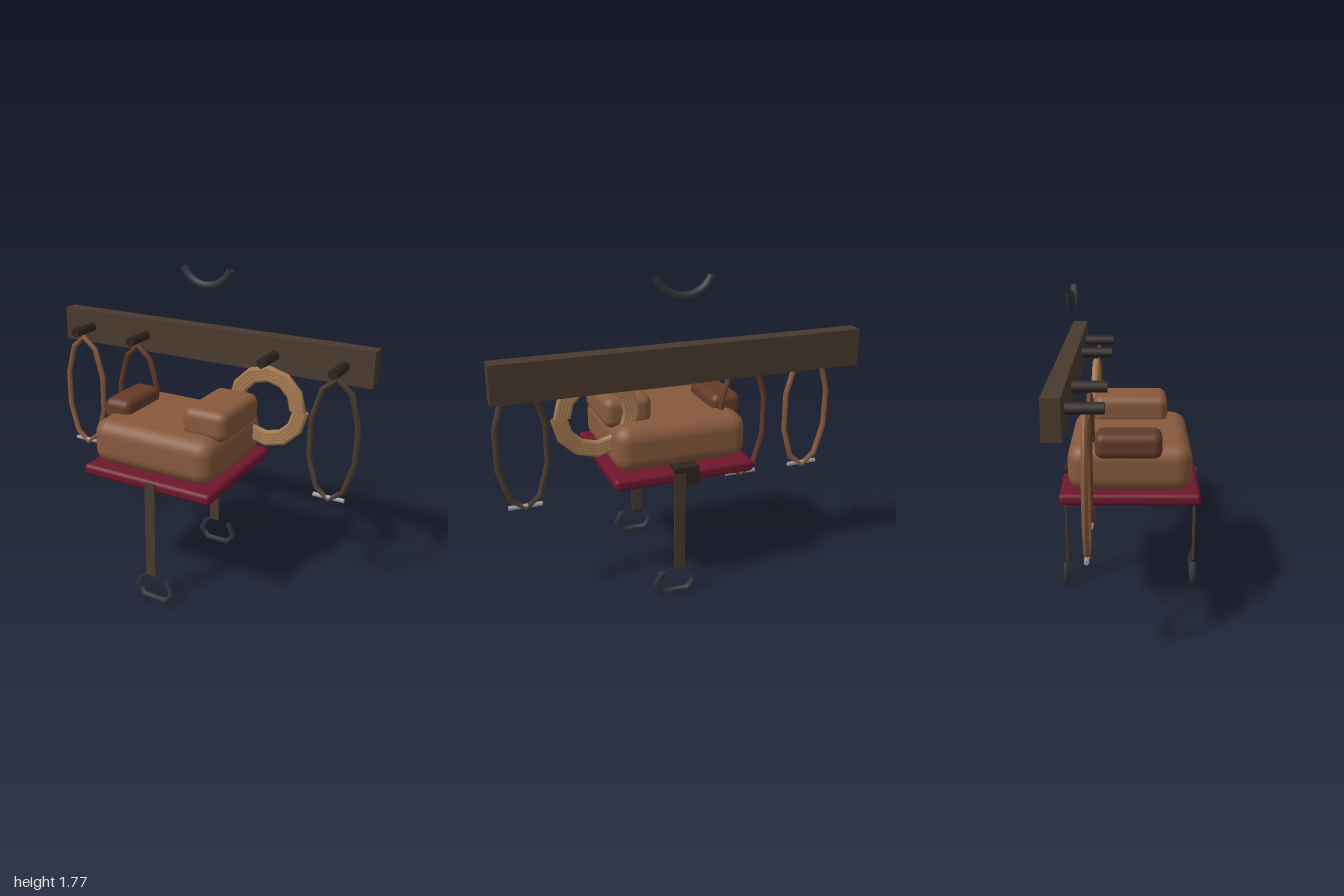
import * as THREE from 'three';
import { RoundedBoxGeometry } from 'three/addons/geometries/RoundedBoxGeometry.js';

const mat = (color) => new THREE.MeshStandardMaterial({ color, side: THREE.DoubleSide });
const wood = mat(0x4a3a2e), darkWood = mat(0x2e2420), tan = mat(0x87593c), brown = mat(0x643a28);
const red = mat(0x6e162c), iron = mat(0x33343c), silver = mat(0x9a9a9e), rope = mat(0xa87c52);

// Path through points, with one tube segment between each pair
class PolyPath extends THREE.Curve {
  constructor(points) {
    super();
    this.points = points;
  }
  getUtoTmapping(u) {
    return u;
  }
  getPoint(t, target = new THREE.Vector3()) {
    const n = this.points.length - 1;
    const i = Math.min(Math.floor(t * n), n - 1);
    return target.lerpVectors(this.points[i], this.points[i + 1], t * n - i);
  }
}

const tube = (points, radius, sides) =>
  new THREE.TubeGeometry(new PolyPath(points), points.length - 1, radius, sides);

export function createModel() {
  const model = new THREE.Group();
  const add = (name, geometry, material, x, y, z, parent = model) => {
    const mesh = new THREE.Mesh(geometry, material);
    mesh.name = name;
    mesh.position.set(x, y, z);
    parent.add(mesh);
    return mesh;
  };

  // Wall beam and its pegs
  add('beam', new THREE.BoxGeometry(2, 0.2, 0.09), wood, 0, 1.33, -0.335);
  for (const x of [-0.8, -0.4, 0.44, 0.84]) {
    add('peg', new THREE.CylinderGeometry(0.03, 0.03, 0.2, 6).rotateX(Math.PI / 2), darkWood, x, 1.33, -0.21);
  }

  // Hanging bridles, each a ten-sided strap loop with a metal bit
  const loop = [];
  for (let i = 0; i <= 10; i++) {
    const a = Math.PI / 2 + (i / 10) * Math.PI * 2;
    loop.push(new THREE.Vector3(0.136 * Math.cos(a), 0.35 * Math.sin(a), 0));
  }
  // Close the seam with the same mitre as the other corners
  const loopGeometry = new THREE.TorusGeometry(1, 0.1, 6, 10);
  const p = loopGeometry.attributes.position;
  for (let i = 0; i < p.count; i++) {
    const k = i % 11, j = Math.floor(i / 11);
    const a = (j / 6) * Math.PI * 2;
    const c = loop[k];
    const normal = new THREE.Vector3(c.x / 0.136 ** 2, c.y / 0.35 ** 2, 0).normalize();
    p.setXYZ(i, c.x + normal.x * 0.017 * Math.cos(a), c.y + normal.y * 0.017 * Math.cos(a), 0.018 * Math.sin(a));
  }
  loopGeometry.computeVertexNormals();
  for (const [x, material] of [[-0.8, tan], [-0.4, brown], [0.84, wood]]) {
    const bridle = new THREE.Group();
    bridle.name = 'bridle';
    bridle.position.set(x, 0.933, -0.2);
    model.add(bridle);
    add('bridleStrap', loopGeometry, material, 0, 0, 0, bridle);
    add('bit', new THREE.CylinderGeometry(0.013, 0.013, 0.18, 8).rotateZ(Math.PI / 2), silver, 0, -0.335, 0, bridle);
  }

  // Coiled rope, a flat spiral of four turns
  const coil = [];
  for (let i = 0; i <= 48; i++) {
    const a = (i / 12) * Math.PI * 2;
    const r = 0.155 + 0.07 * (i / 48);
    coil.push(new THREE.Vector3(r * Math.cos(a), r * Math.sin(a), 0));
  }
  add('ropeCoil', tube(coil, 0.021, 6), rope, 0.445, 1.063, -0.207);

  // Blanket, saddle seat and the two rolls on top
  add('blanket', new RoundedBoxGeometry(0.8, 0.064, 0.755, 2, 0.022), red, 0, 0.71, 0.002);
  add('seat', new RoundedBoxGeometry(0.75, 0.26, 0.665, 3, 0.085), tan, -0.003, 0.868, 0.002);
  add('darkRoll', new RoundedBoxGeometry(0.175, 0.14, 0.355, 3, 0.045), brown, -0.313, 1.003, -0.005);
  add('lightRoll', new RoundedBoxGeometry(0.265, 0.168, 0.43, 3, 0.05), tan, 0.266, 1.047, 0.002);

  // Girth strap below, wrapping over the back edge
  add('girth', new THREE.BoxGeometry(0.14, 0.03, 0.58), darkWood, 0, 0.67, -0.088);
  add('girthBuckle', new THREE.BoxGeometry(0.14, 0.105, 0.08), darkWood, 0, 0.708, -0.338);

  // Stirrups on their leathers, front and back
  const irons = [[-0.075, 0.15], [-0.112, 0.075], [-0.07, 0.019], [0.07, 0.019], [0.112, 0.075], [0.075, 0.15]]
    .map(([x, y]) => new THREE.Vector3(x, y, 0));
  for (const z of [0.38, -0.378]) {
    add('stirrupLeather', new THREE.BoxGeometry(0.062, 0.575, 0.012), wood, 0.041, 0.443, z);
    add('stirrup', tube(irons, 0.018, 6), iron, 0.065, 0, z);
  }

  // Horseshoe above the beam
  const shoe = new THREE.TorusGeometry(0.16, 0.023, 8, 12, Math.PI * 0.75).rotateZ(Math.PI * 1.125);
  add('horseshoe', shoe, iron, 0, 1.827, -0.308);

  return model;
}
